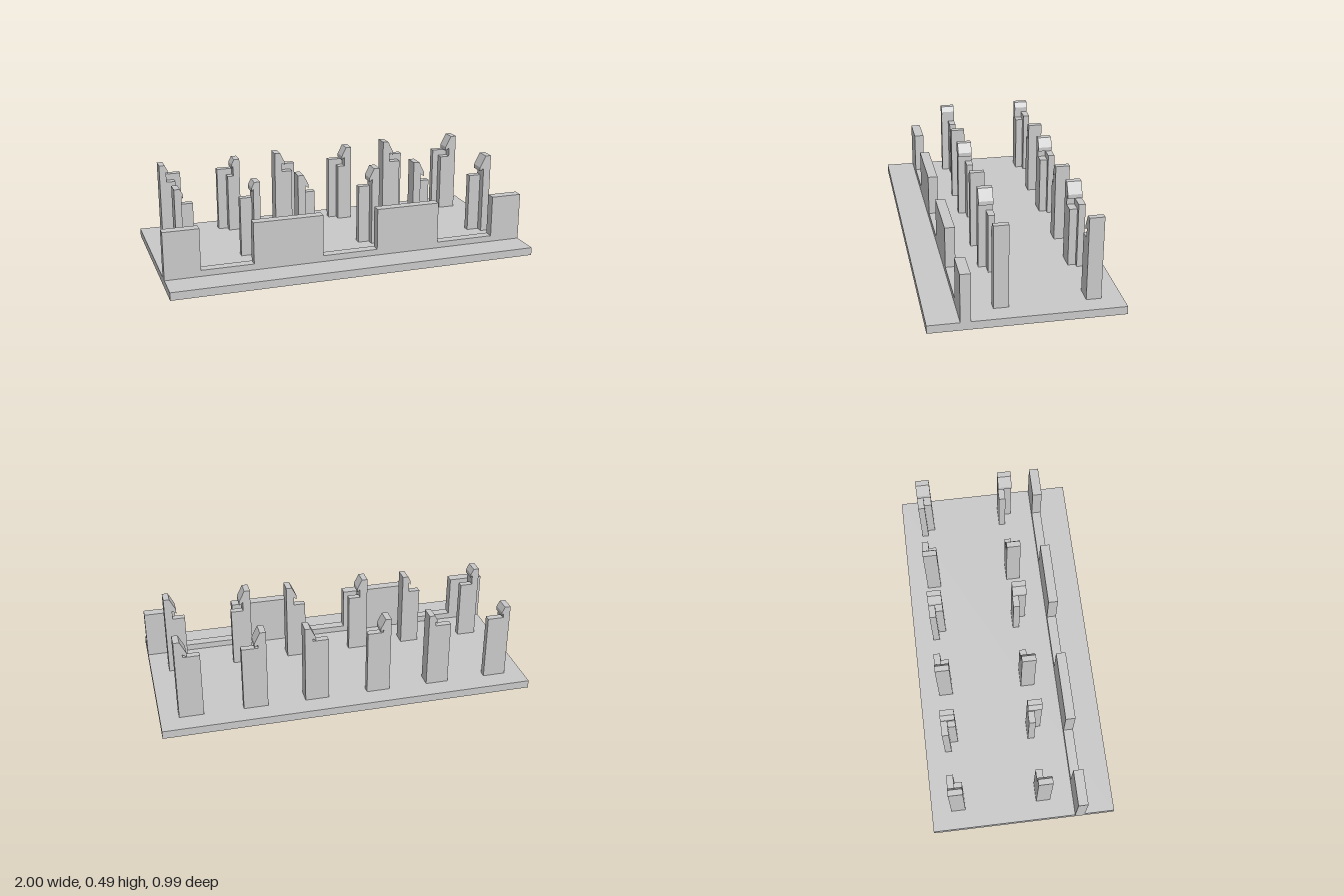
import * as THREE from 'three';

const BASE_TOP = 0.043;

export function createModel() {
  const model = new THREE.Group();
  model.name = 'clipBoard';
  const grey = new THREE.MeshStandardMaterial({ color: 0xc8c8c8 });
  grey.name = 'light grey';

  // Box given by its limits on each axis
  const box = (name, xa, xb, y0, y1, z0, z1, parent = model) => {
    const mesh = new THREE.Mesh(new THREE.BoxGeometry(Math.abs(xb - xa), y1 - y0, z1 - z0), grey);
    mesh.position.set((xa + xb) / 2, (y0 + y1) / 2, (z0 + z1) / 2);
    mesh.name = name;
    parent.add(mesh);
  };

  box('basePlate', -1, 1, 0, BASE_TOP, -0.495, 0.495);

  // Notched rail: stepped outline extruded through its thickness
  const rail = new THREE.Shape();
  rail.moveTo(-1, BASE_TOP);
  rail.lineTo(-1, 0.302);
  for (const [a, b] of [[-0.81, -0.53], [-0.152, 0.152], [0.505, 0.83]]) {
    rail.lineTo(a, 0.302);
    rail.lineTo(a, 0.076);
    rail.lineTo(b, 0.076);
    rail.lineTo(b, 0.302);
  }
  rail.lineTo(1, 0.302);
  rail.lineTo(1, BASE_TOP);
  const railMesh = new THREE.Mesh(
    new THREE.ExtrudeGeometry(rail, { depth: 0.053, bevelEnabled: false }), grey);
  railMesh.position.z = 0.28;
  railMesh.name = 'notchedRail';
  model.add(railMesh);

  // Clips: outer edge x, facing, height, stem width, hook reach,
  // then lengths of the back wall, front wall and back step
  const clips = [
    [-0.9, 1, 0.462, 0.037, 0.046, 0.122, 0.103, 0.086],
    [-0.445, -1, 0.462, 0.037, 0.046, 0.122, 0.1, 0.07],
    [-0.236, 1, 0.475, 0.042, 0.057, 0.126, 0.105, 0.1],
    [0.228, -1, 0.475, 0.042, 0.057, 0.126, 0.105, 0.08],
    [0.43, 1, 0.488, 0.042, 0.062, 0.13, 0.108, 0.105],
    [0.9, -1, 0.488, 0.042, 0.064, 0.13, 0.108, 0.095],
  ];

  const addClip = ([x, d, top, stem, reach, backLen, frontLen, stepLen], back) => {
    const clip = new THREE.Group();
    clip.name = back ? 'backClip' : 'frontClip';
    const z0 = back ? -0.388 : 0.078;
    const z1 = z0 + 0.077;
    const zMid = z0 + 0.036;

    // Post with a barbed hook facing inward
    const drop = (reach - 0.03) * 1.9;
    const profile = [
      [0, BASE_TOP], [stem, BASE_TOP], [stem, top - drop - 0.008],
      [reach, top - drop - 0.022], [reach, top - drop],
      [reach - (reach - 0.03) * 0.95, top], [0, top],
    ].map(([u, y]) => new THREE.Vector2(x + d * u, y));
    const post = new THREE.Mesh(
      new THREE.ExtrudeGeometry(new THREE.Shape(profile), { depth: z1 - z0, bevelEnabled: false }), grey);
    post.position.z = z0;
    post.name = 'hookPost';
    clip.add(post);

    // Stop wall beside the post, with a lower step on the back row
    const inner = x + d * stem;
    box('stopWall', inner, x + d * (back ? backLen : frontLen), BASE_TOP, back ? 0.4 : 0.368, z0, zMid, clip);
    if (back) box('stopStep', inner, x + d * stepLen, BASE_TOP, 0.365, zMid, z1, clip);
    model.add(clip);
  };

  for (const spec of clips) {
    addClip(spec, true);
    addClip(spec, false);
  }
  return model;
}
